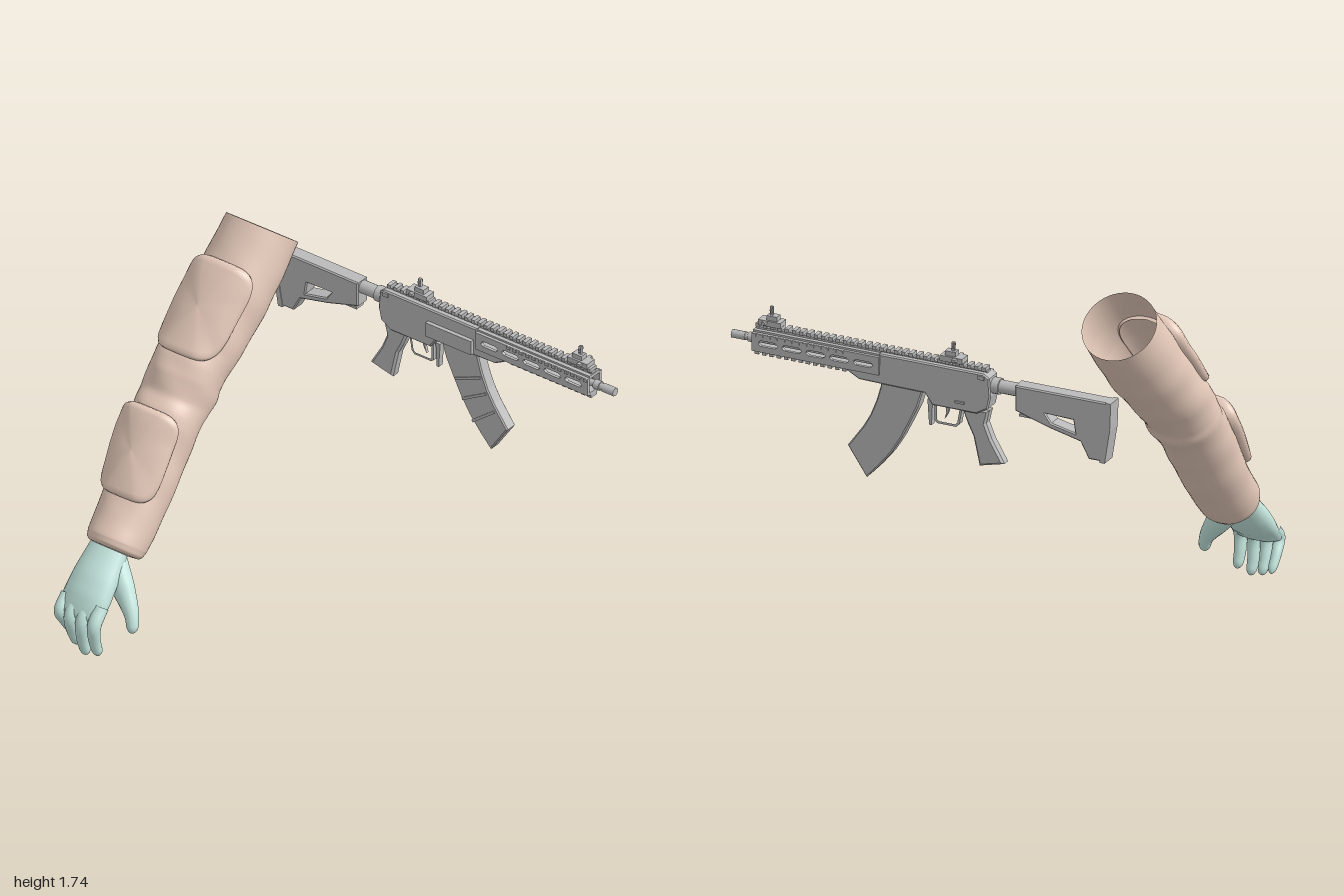
import * as THREE from 'three';

const mat = (name, color, side = THREE.FrontSide) => {
  const m = new THREE.MeshStandardMaterial({ color, side });
  m.name = name;
  return m;
};
const V = (x, y, z) => new THREE.Vector3(x, y, z);

// Smooth surface from closed rings; fn(i, j) gives each point
function surface(rows, cols, fn) {
  const pos = [], idx = [];
  for (let i = 0; i <= rows; i++)
    for (let j = 0; j < cols; j++) {
      pos.push(...fn(i, j).toArray());
      if (i === rows) continue;
      const a = i * cols + j, b = i * cols + (j + 1) % cols;
      idx.push(a, b, a + cols, b, b + cols, a + cols);
    }
  const g = new THREE.BufferGeometry();
  g.setAttribute('position', new THREE.Float32BufferAttribute(pos, 3));
  g.setIndex(idx);
  g.computeVertexNormals();
  return g;
}

// Tapered limb with a rounded tip; each row is x, y, z, thickness, width
function limb(rows, tip = 0.85) {
  const curve = new THREE.CatmullRomCurve3(rows.map(r => V(r[0], r[1], r[2])));
  const N = 28, M = 18, n = rows.length - 1;
  return surface(N, M, (i, j) => {
    const t = i < 16 ? i / 16 * tip : tip + (1 - tip) * Math.sin((i - 16) / 12 * Math.PI / 2);
    const c = curve.getPoint(t), d = curve.getTangent(t);
    const u = V(0, 0, 1).cross(d).normalize(), v = d.clone().cross(u);
    const k = Math.min(n - 1, Math.floor(t * n)), f = t * n - k;
    const round = t > tip ? Math.sqrt(Math.max(0, 1 - ((t - tip) / (1 - tip)) ** 2)) : 1;
    const size = q => (rows[k][q] * (1 - f) + rows[k + 1][q] * f) * round;
    const a = j / M * Math.PI * 2;
    return c.addScaledVector(u, Math.cos(a) * size(3)).addScaledVector(v, Math.sin(a) * size(4));
  });
}

// Sleeve sections: distance along arm, upper edge, lower edge, z centre, z half-width
const SLEEVE = [
  [-0.012, 0.06, -0.06, -0.825, 0.08], [-0.01, 0.1, -0.1, -0.825, 0.118], [0.005, 0.125, -0.12, -0.825, 0.133],
  [0.035, 0.134, -0.131, -0.825, 0.14], [0.1, 0.128, -0.136, -0.826, 0.145], [0.26, 0.125, -0.142, -0.828, 0.153],
  [0.45, 0.148, -0.139, -0.83, 0.158], [0.58, 0.163, -0.135, -0.829, 0.162], [0.64, 0.162, -0.138, -0.828, 0.163],
  [0.7, 0.146, -0.138, -0.826, 0.165], [0.76, 0.162, -0.145, -0.822, 0.172], [0.8, 0.171, -0.134, -0.82, 0.172],
  [0.87, 0.17, -0.14, -0.815, 0.175], [0.95, 0.155, -0.147, -0.808, 0.178], [1.2, 0.165, -0.168, -0.782, 0.184],
  [1.35, 0.166, -0.17, -0.77, 0.18], [1.533, 0.17, -0.168, -0.757, 0.17]];

function sleevePoint(s, th, lift = 0) {
  let k = 0;
  while (k < SLEEVE.length - 2 && s > SLEEVE[k + 1][0]) k++;
  const A = SLEEVE[k], B = SLEEVE[k + 1], f = (s - A[0]) / (B[0] - A[0]);
  const [, hi, lo, zc, hz] = A.map((q, i) => q + (B[i] - q) * f);
  // soft cloth folds that fade out at both ends
  const fade = Math.max(0, Math.sin(Math.PI * Math.min(1, Math.max(0, s / 1.53))));
  const fold = 0.004 * fade * Math.sin(24 * s + 3 * Math.sin(th)) * Math.sin(2 * th + 5 * s);
  const p = (hi + lo) / 2 + ((hi - lo) / 2 + lift + fold) * Math.cos(th);
  return V(-0.49 + 0.63 * s - 0.777 * p, 0.44 + 0.777 * s + 0.63 * p, zc + (hz + lift + fold) * Math.sin(th));
}

// Cushioned pad with rounded corners, thickest at its upper end
function padGeometry(mid, half, spread, h) {
  const rim = [[0, 1], [0.3, 1], [0.6, 1], [0.85, 0.97], [0.94, 0.87], [0.985, 0.6], [1, 0.25], [0.99, -0.3]];
  const sq = q => Math.sign(q) * Math.abs(q) ** 0.45;
  return surface(rim.length - 1, 48, (i, j) => {
    const a = -j / 48 * Math.PI * 2, [r, k] = rim[i], x = r * sq(Math.cos(a));
    return sleevePoint(mid + half * x, spread * r * sq(Math.sin(a)), h * k * (0.93 + 0.17 * x));
  });
}

// Side profile in (z, y), given thickness across x
function slab(pts, w, holes = [], bevel = 0.006) {
  const toV = list => list.map(p => new THREE.Vector2(...p));
  const shape = new THREE.Shape(toV(pts));
  holes.forEach(h => shape.holes.push(new THREE.Path(toV(h))));
  const g = new THREE.ExtrudeGeometry(shape, {
    depth: w - 2 * bevel, bevelEnabled: bevel > 0, bevelThickness: bevel, bevelSize: bevel, bevelOffset: -bevel, bevelSegments: 1 });
  g.translate(0, 0, -(w - 2 * bevel) / 2);
  return g.rotateY(-Math.PI / 2);
}

export function createModel() {
  const root = new THREE.Group();
  const cloth = mat('sleeve tan', 0xe4c9b9, THREE.DoubleSide);
  const skin = mat('pale teal', 0xc4e6de);
  const metal = mat('rifle grey', 0xbababa);
  const add = (parent, name, geo, m) => {
    const o = new THREE.Mesh(geo, m);
    o.name = name;
    parent.add(o);
    return o;
  };

  // Arm
  const arm = new THREE.Group();
  arm.name = 'arm';
  root.add(arm);
  add(arm, 'sleeve', surface(110, 48, (i, j) => {
    const s = i < 10 ? -0.012 + i * 0.0047 : 0.035 + (i - 10) / 100 * 1.498;
    return sleevePoint(s, j / 48 * Math.PI * 2);
  }), cloth);
  add(arm, 'upperPad', padGeometry(1.11, 0.225, 0.97, 0.042), cloth);
  add(arm, 'forearmPad', padGeometry(0.42, 0.205, 1.0, 0.045), cloth);

  // Hand
  const hand = new THREE.Group();
  hand.name = 'hand';
  root.add(hand);
  add(hand, 'palm', limb([[-0.46, 0.5, -0.835, 0.06, 0.085], [-0.53, 0.42, -0.84, 0.063, 0.1],
    [-0.6, 0.34, -0.842, 0.068, 0.114], [-0.66, 0.27, -0.843, 0.058, 0.12], [-0.703, 0.215, -0.845, 0.038, 0.118],
    [-0.722, 0.175, -0.845, 0.028, 0.112]], 0.86), skin);
  add(hand, 'thumb', limb([[-0.525, 0.39, -0.8, 0.055, 0.065], [-0.552, 0.295, -0.727, 0.046, 0.054],
    [-0.582, 0.2, -0.66, 0.032, 0.032], [-0.605, 0.128, -0.638, 0.024, 0.024]]), skin);
  [[-0.75, -0.7, 0.02], [-0.815, -0.7, 0.0], [-0.878, -0.68, 0.02], [-0.938, -0.65, 0.05]].forEach(([z, x, y], i) => {
    const r = i === 3 ? 0.026 : 0.03;
    add(hand, 'finger' + (i + 1), limb([[-0.68, 0.26, z, r, r * 1.1], [-0.733, 0.18 + y * 0.3, z, r, r * 1.05],
      [x * 0.5 - 0.372, 0.08 + y, z - 0.004, r * 0.9, r * 0.9], [x, y + 0.003, z, r * 0.75, r * 0.75]]), skin);
  });

  // Rifle, built around its own centre plane
  const rifle = new THREE.Group();
  rifle.name = 'rifle';
  rifle.position.x = 0.708;
  root.add(rifle);
  const box = (name, w, h, d, x, y, z) =>
    add(rifle, name, new THREE.BoxGeometry(w, h, d), metal).position.set(x, y, z);
  const rod = (name, r, z0, z1, y, sides = 16) => {
    const g = new THREE.CylinderGeometry(r, r, z1 - z0, sides).rotateX(Math.PI / 2);
    add(rifle, name, g, metal).position.set(0, y, (z0 + z1) / 2);
  };
  rod('barrel', 0.016, 0.2, 0.98, 1.353);
  rod('muzzleCollar', 0.022, 0.89, 0.92, 1.353);
  rod('muzzleBrake', 0.02, 0.935, 1.0, 1.353, 8);
  rod('gasTube', 0.012, 0.2, 0.86, 1.39);

  // Handguard with open side slots and toothed rails
  const slots = [];
  for (let i = 0; i < 5; i++) {
    const z = 0.3 + i * 0.115;
    slots.push([[z, 1.35], [z + 0.012, 1.341], [z + 0.08, 1.341], [z + 0.092, 1.35],
      [z + 0.092, 1.358], [z + 0.08, 1.367], [z + 0.012, 1.367], [z, 1.358]]);
  }
  for (const s of [-1, 1])
    add(rifle, 'handguardSide', slab([[0.27, 1.312], [0.885, 1.312], [0.885, 1.398], [0.27, 1.398]], 0.014, slots, 0),
      metal).position.x = s * 0.042;
  box('handguardTop', 0.07, 0.016, 0.615, 0, 1.399, 0.5775);
  box('handguardFloor', 0.07, 0.014, 0.615, 0, 1.313, 0.5775);
  box('topRail', 0.032, 0.014, 1.12, 0, 1.411, 0.32);
  for (let i = 0; i < 32; i++) box('railTooth', 0.044, 0.018, 0.019, 0, 1.425, -0.225 + i * 0.0353);
  for (let i = 0; i < 13; i++) {
    const z = 0.45 + i * 0.0353;
    box('lowerTooth', 0.044, 0.022, 0.019, 0, 1.298, z);
    for (const s of [-1, 1]) box('sideTooth', 0.01, 0.014, 0.019, s * 0.049, 1.39, z);
  }

  // Receiver and magazine
  add(rifle, 'upperReceiver', slab([[0.27, 1.27], [0.37, 1.272], [0.43, 1.305], [0.43, 1.318], [0.275, 1.318], [0.27, 1.412],
    [-0.235, 1.412], [-0.262, 1.395], [-0.268, 1.31], [-0.255, 1.25], [-0.2, 1.218], [0.015, 1.218], [0.05, 1.268]], 0.085), metal);
  box('portCover', 0.022, 0.07, 0.25, -0.05, 1.315, 0.13);
  box('chargingHandle', 0.1, 0.018, 0.03, 0, 1.395, -0.225);
  box('selector', 0.014, 0.01, 0.045, 0.042, 1.258, -0.12);
  add(rifle, 'magazine', slab([[0.27, 1.29], [0.27, 1.255], [0.29, 1.185], [0.32, 1.11], [0.354, 1.05], [0.43, 0.944],
    [0.338, 0.808], [0.28, 0.87], [0.22, 0.944], [0.17, 1.025], [0.13, 1.105], [0.09, 1.19], [0.06, 1.29]], 0.06), metal);
  // magazine ribs follow the curve on its right face
  [[0.215, 1.13, 0.4], [0.25, 1.05, 0.52], [0.3, 0.965, 0.66]].forEach(([z, y, a]) => {
    const rib = add(rifle, 'magazineRib', new THREE.BoxGeometry(0.01, 0.012, 0.15), metal);
    rib.position.set(-0.03, y, z);
    rib.rotation.x = -a;
  });
  add(rifle, 'triggerGuard', slab([[0.015, 1.225], [0.015, 1.135], [0, 1.125], [-0.09, 1.125], [-0.105, 1.14], [-0.12, 1.225]],
    0.03, [[[0.003, 1.215], [0.003, 1.142], [-0.005, 1.136], [-0.085, 1.136], [-0.095, 1.145], [-0.107, 1.215]]], 0), metal);
  add(rifle, 'trigger', slab([[-0.035, 1.22], [-0.055, 1.22], [-0.047, 1.18], [-0.03, 1.15], [-0.038, 1.18]], 0.014, [], 0), metal);
  add(rifle, 'magazineCatch', slab([[0.05, 1.23], [0.025, 1.23], [0.03, 1.11], [0.042, 1.11]], 0.028, [], 0), metal);
  add(rifle, 'grip', slab([[-0.12, 1.225], [-0.15, 1.15], [-0.175, 1.1], [-0.205, 0.965], [-0.325, 0.995], [-0.318, 1.01],
    [-0.265, 1.1], [-0.237, 1.17], [-0.252, 1.235]], 0.054, [], 0.01), metal);

  // Stock
  rod('bufferTube', 0.03, -0.62, -0.26, 1.352);
  rod('tubeNut', 0.037, -0.3, -0.265, 1.352);
  add(rifle, 'stock', slab([[-0.385, 1.385], [-0.83, 1.387], [-0.83, 1.26], [-0.805, 1.105], [-0.74, 1.105], [-0.7, 1.18],
    [-0.55, 1.215], [-0.385, 1.265]], 0.072,
    [[[-0.53, 1.28], [-0.665, 1.275], [-0.675, 1.215], [-0.56, 1.24]]]), metal);
  add(rifle, 'buttPad', slab([[-0.825, 1.388], [-0.85, 1.388], [-0.845, 1.26], [-0.82, 1.1], [-0.795, 1.1], [-0.822, 1.26]],
    0.078, [], 0), metal);
  box('stockLever', 0.05, 0.012, 0.1, 0, 1.245, -0.45);

  // Flip-up sights
  for (const [z, dir] of [[-0.07, 1], [0.81, -1]]) {
    box('sightBase', 0.055, 0.026, 0.11, 0, 1.443, z);
    box('sightBlock', 0.036, 0.026, 0.05, 0, 1.465, z + dir * 0.008);
    box('sightPin', 0.09, 0.014, 0.018, 0, 1.447, z - dir * 0.02);
    box('sightPost', 0.012, 0.05, 0.014, 0, 1.493, z);
    const ring = add(rifle, 'sightRing', new THREE.TorusGeometry(0.013, 0.004, 6, 16), metal);
    ring.position.set(0, 1.503, z);
  }
  return root;
}
